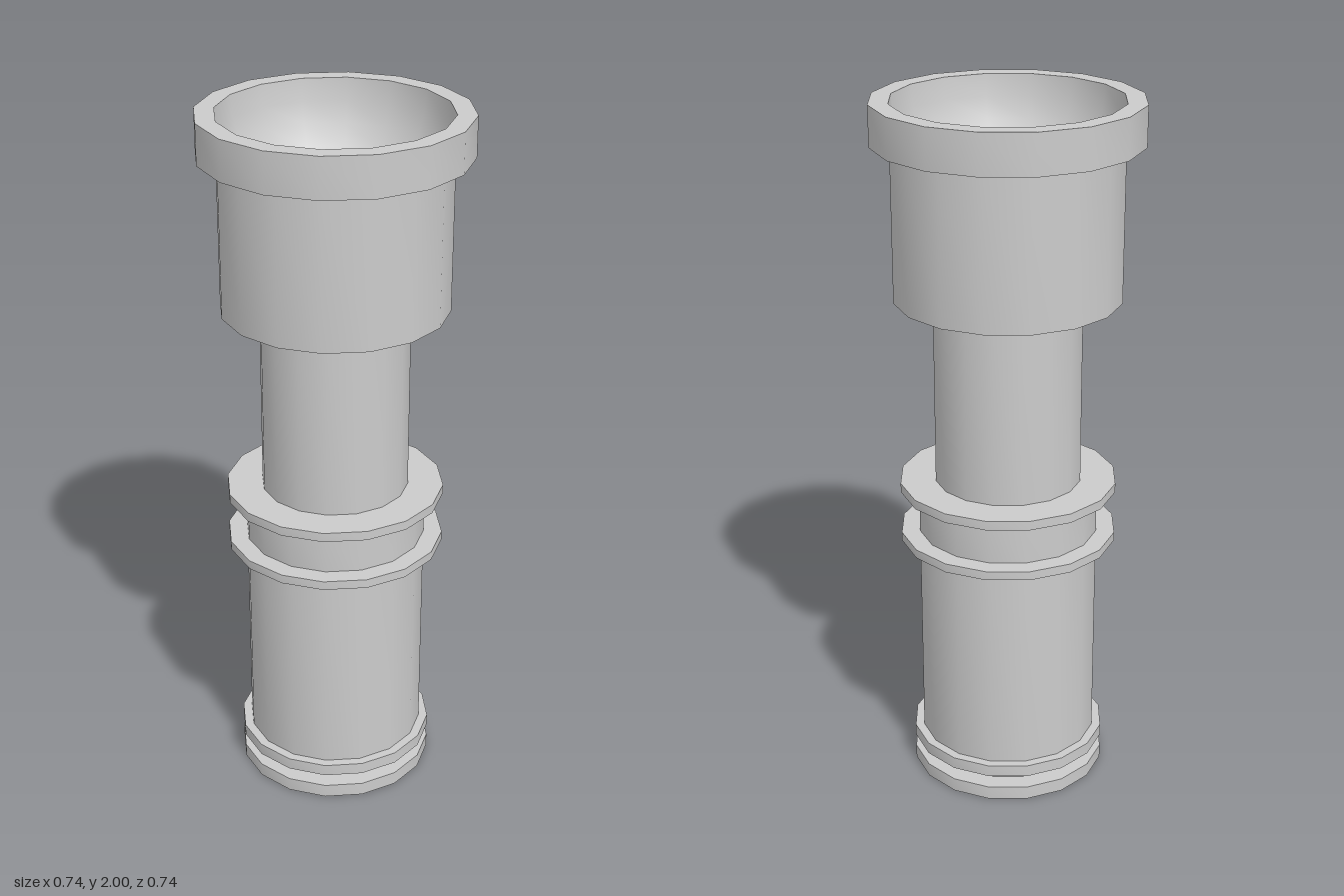
import * as THREE from 'three';
import { toCreasedNormals } from 'three/addons/utils/BufferGeometryUtils.js';

const SIDES = 16;
const material = new THREE.MeshStandardMaterial({ color: 0xcccccc });

// Revolves a [radius, height] profile, listed from the bottom up the outside
function turned(name, profile) {
  const points = profile.map(([r, y]) => new THREE.Vector2(r, y));
  const geometry = toCreasedNormals(new THREE.LatheGeometry(points, SIDES), 0.6);
  const mesh = new THREE.Mesh(geometry, material);
  mesh.name = name;
  return mesh;
}

export function createModel() {
  const group = new THREE.Group();
  group.name = 'turnedColumn';

  const foot = 0.283, groove = 0.227, body = 0.257, collar = 0.31;
  const neck = 0.209, cup = 0.317, rim = 0.371;

  // Foot: two rings with a groove between them
  group.add(turned('foot', [
    [0, 0], [foot, 0], [foot, 0.04], [groove, 0.04],
    [groove, 0.078], [foot, 0.078], [foot, 0.113], [body, 0.113],
  ]));

  // Lower body with two thin collars
  group.add(turned('lowerBody', [
    [body, 0.113], [body, 0.737], [collar, 0.737], [collar, 0.763], [body, 0.763],
    [body, 0.89], [collar, 0.89], [collar, 0.917], [neck, 0.917],
  ]));

  // Slim neck
  group.add(turned('neck', [[neck, 0.917], [neck, 1.455]]));

  // Cup wall and heavier rim
  group.add(turned('cup', [[neck, 1.455], [cup, 1.455], [cup, 1.887]]));
  group.add(turned('rim', [[cup, 1.887], [rim, 1.887], [rim, 2], [cup, 2]]));

  // Hemispherical hollow, running from the rim down to a small flat floor
  const hollow = [];
  for (let i = 0; i <= 7; i++) {
    const a = (i / 8) * Math.PI / 2;
    hollow.push([cup * Math.cos(a), 2 - cup * Math.sin(a)]);
  }
  group.add(turned('bowl', hollow));
  const [floorRadius, floorHeight] = hollow[7];
  group.add(turned('bowlFloor', [[floorRadius, floorHeight], [0, floorHeight]]));

  return group;
}
